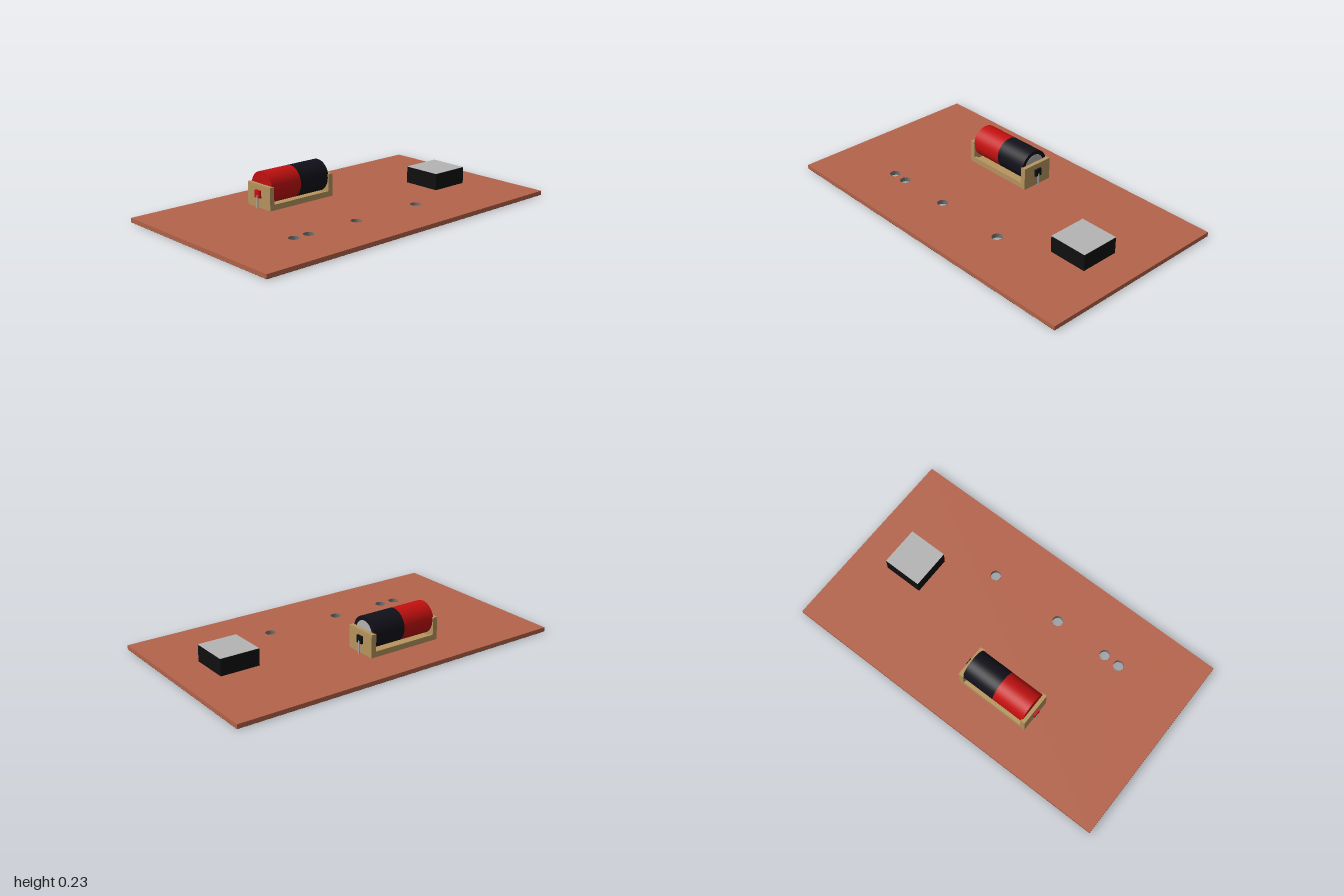
import * as THREE from 'three';

const mat = (color, side = THREE.FrontSide) => new THREE.MeshStandardMaterial({ color, side });
const copper = mat(0xb4634a), green = mat(0x061206), grey = mat(0xb4b4b4), black = mat(0x101010);
const red = mat(0xc41010), navy = mat(0x12111a), tan = mat(0xb8955e);
const pad = mat(0x777777, THREE.DoubleSide);

function add(parent, name, geometry, material, x = 0, y = 0, z = 0) {
  const mesh = new THREE.Mesh(geometry, material);
  mesh.name = name;
  mesh.position.set(x, y, z);
  parent.add(mesh);
  return mesh;
}

// Box given by its min and max corners
function box(parent, name, material, [x0, y0, z0], [x1, y1, z1]) {
  return add(parent, name, new THREE.BoxGeometry(x1 - x0, y1 - y0, z1 - z0), material,
    (x0 + x1) / 2, (y0 + y1) / 2, (z0 + z1) / 2);
}

const HOLES = [[-0.58, 0.26], [-0.485, 0.263], [-0.16, 0.263], [0.282, 0.267]];
const HOLE_R = 0.03, BOARD_H = 0.025;

function boardShape(halfX, halfZ, holeRadius) {
  const s = new THREE.Shape([
    new THREE.Vector2(-halfX, -halfZ), new THREE.Vector2(halfX, -halfZ),
    new THREE.Vector2(halfX, halfZ), new THREE.Vector2(-halfX, halfZ)]);
  for (const [x, z] of HOLES) {
    const h = new THREE.Path();
    h.absarc(x, -z, holeRadius, 0, Math.PI * 2, true);
    s.holes.push(h);
  }
  return s;
}

function buildBoard() {
  const board = new THREE.Group();
  board.name = 'circuitBoard';
  const plate = new THREE.ExtrudeGeometry(boardShape(1, 0.57, HOLE_R),
    { depth: BOARD_H - 0.001, bevelEnabled: false, curveSegments: 24 });
  plate.rotateX(-Math.PI / 2);
  add(board, 'boardPlate', plate, copper, 0, 0.001, 0);

  // Dark underside
  const under = new THREE.ShapeGeometry(boardShape(1, 0.57, HOLE_R), 24);
  under.rotateX(-Math.PI / 2);
  add(board, 'boardUnderside', under, mat(0x061206, THREE.DoubleSide), 0, 0.0005, 0);

  // Metal lining and underside ring of each hole
  for (const [x, z] of HOLES) {
    add(board, 'holeLining', new THREE.CylinderGeometry(HOLE_R - 0.0005, HOLE_R - 0.0005, BOARD_H, 32, 1, true),
      pad, x, BOARD_H / 2, z);
    add(board, 'holeRing', new THREE.RingGeometry(HOLE_R, 0.038, 32).rotateX(Math.PI / 2), pad, x, 0, z);
  }
  return board;
}

function buildBattery() {
  const battery = new THREE.Group();
  battery.name = 'battery';
  const r = 0.09;
  const along = (radius, length) =>
    new THREE.CylinderGeometry(radius, radius, length, 40).rotateZ(Math.PI / 2);
  add(battery, 'positiveHalf', along(r, 0.2), red, -0.275, 0, 0);
  add(battery, 'negativeHalf', along(r, 0.2), navy, -0.075, 0, 0);
  add(battery, 'negativeCap', along(0.067, 0.004), grey, 0.0245, 0, 0);
  battery.position.set(0, 0.137, -0.25);
  return battery;
}

function buildHolder() {
  const holder = new THREE.Group();
  holder.name = 'batteryHolder';
  const z0 = -0.347, z1 = -0.155, y0 = 0.028;
  box(holder, 'tray', tan, [-0.37, y0, z0], [0.022, 0.045, z1]);
  box(holder, 'rail', tan, [-0.37, 0.045, z0], [0.022, 0.06, z0 + 0.014]);
  box(holder, 'rail', tan, [-0.37, 0.045, z1 - 0.014], [0.022, 0.06, z1]);

  // End plates, each with a coloured terminal and a wire down to the board
  const ends = [[-0.396, -0.368, -1, red], [0.02, 0.05, 1, black]];
  for (const [x0, x1, dir, colour] of ends) {
    box(holder, 'endPlate', tan, [x0, y0, z0], [x1, 0.158, z1]);
    const face = dir > 0 ? x1 : x0;
    add(holder, 'terminal', new THREE.BoxGeometry(0.024, 0.042, 0.042), colour, face, 0.106, -0.252);
    const path = new THREE.CurvePath();
    const a = new THREE.Vector3(face, 0.1, -0.252);
    const b = new THREE.Vector3(face + dir * 0.01, 0.1, -0.252);
    const c = new THREE.Vector3(face + dir * 0.01, 0.022, -0.252);
    path.add(new THREE.LineCurve3(a, b));
    path.add(new THREE.LineCurve3(b, c));
    add(holder, 'wire', new THREE.TubeGeometry(path, 24, 0.005, 8), grey);
  }
  return holder;
}

function buildBlock() {
  const block = new THREE.Group();
  block.name = 'component';
  box(block, 'componentBody', black, [0.565, BOARD_H, -0.073], [0.795, 0.12, 0.157]);
  box(block, 'componentTop', grey, [0.565, 0.12, -0.073], [0.795, 0.122, 0.157]);
  return block;
}

export function createModel() {
  const model = new THREE.Group();
  model.name = 'batteryBoard';
  model.add(buildBoard(), buildBattery(), buildHolder(), buildBlock());
  return model;
}
